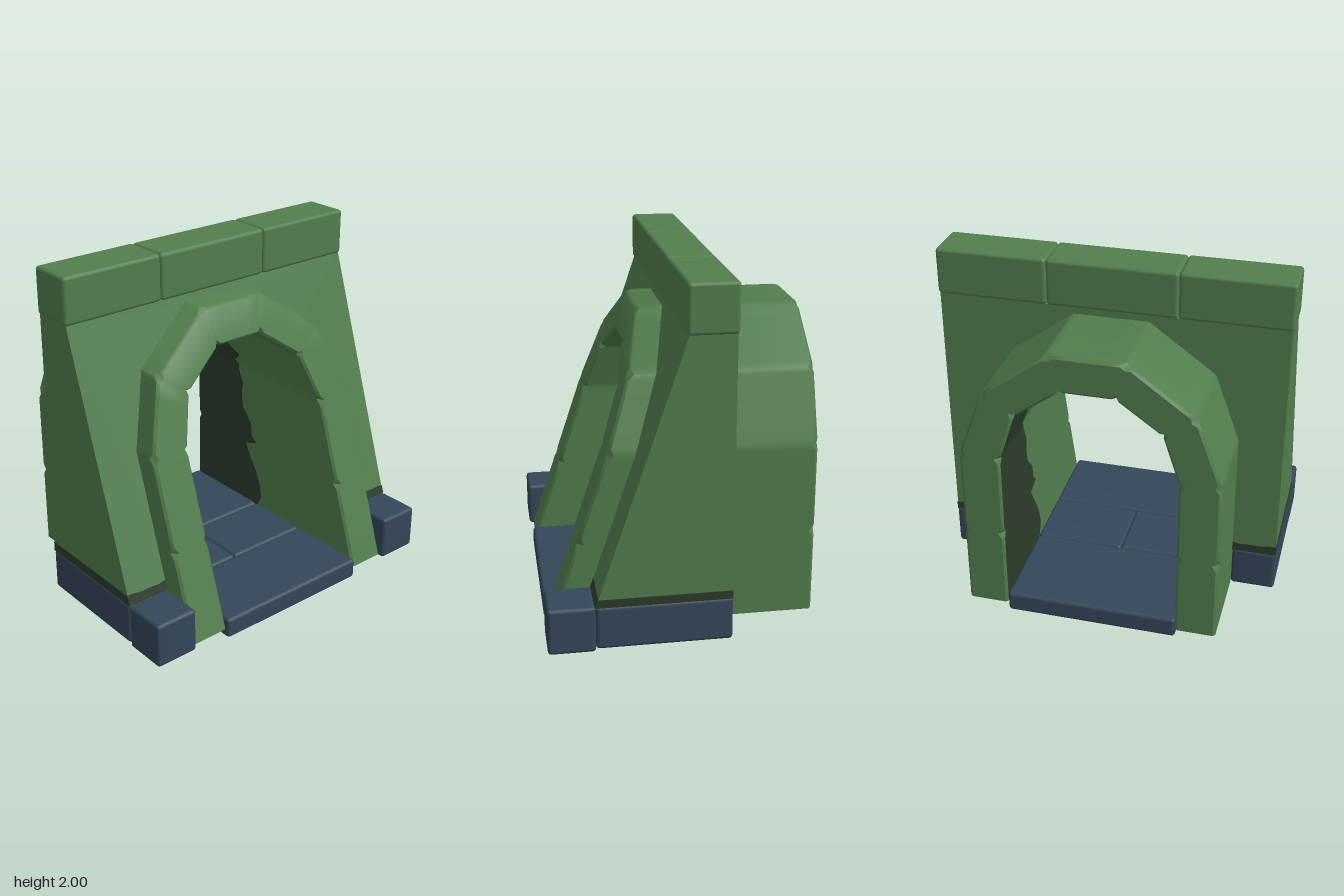
import * as THREE from 'three';
import { toCreasedNormals } from 'three/addons/utils/BufferGeometryUtils.js';
import { RoundedBoxGeometry } from 'three/addons/geometries/RoundedBoxGeometry.js';

const mat = (name, color) => new THREE.MeshStandardMaterial({ name, color });

// Repeatable noise in -1..1
const noise = (i) => {
  const s = Math.sin(i * 12.9898 + 4.1) * 43758.5453;
  return (s - Math.floor(s)) * 2 - 1;
};

// Arch joints on the +x half, from foot to crown: [outerX, outerY, innerX, innerY]
const HALF = [
  [0.72, 0.06, 0.49, 0.06],
  [0.72, 0.54, 0.49, 0.54],
  [0.72, 1.04, 0.49, 1.03],
  [0.58, 1.43, 0.4, 1.31],
  [0.21, 1.7, 0.15, 1.49],
];
const JOINTS = [...HALF, ...HALF.map(([a, b, c, d]) => [-a, b, -c, d]).reverse()];

// Tunnel ring: bevelled cross-sections swept over the arch, notched at each joint
function tunnelGeometries() {
  const back = -0.74;
  const sections = [];
  JOINTS.forEach((p, j) => {
    const q = JOINTS[j + 1];
    const steps = q ? [0, 0.07, 0.25, 0.42, 0.58, 0.75, 0.93] : [0];
    for (const t of steps) {
      const [ox, oy, nx, ny] = q ? p.map((v, k) => v + (q[k] - v) * t) : p;
      const b = t === 0 && j > 0 && q ? 0.035 : 0.014;
      const len = Math.hypot(ox - nx, oy - ny);
      const ux = ((ox - nx) / len) * b, uy = ((oy - ny) / len) * b;
      const front = (y) => 0.74 - 0.335 * y;
      // the stain reaches deeper near the ground
      const stain = -0.18 - 0.22 * ny + (nx > 0 ? 0.08 : -0.06) + 0.06 * noise(sections.length);
      const pt = (x, y, z) => new THREE.Vector3(x, y, z);
      sections.push([
        pt(ox, oy, back + b),
        pt(ox, oy, front(oy) - b),
        pt(ox - ux, oy - uy, front(oy - uy)),
        pt(nx + ux, ny + uy, front(ny + uy)),
        pt(nx, ny, front(ny) - b),
        pt(nx, ny, stain),
        pt(nx, ny, back + b),
        pt(nx + ux, ny + uy, back),
        pt(ox - ux, oy - uy, back),
      ]);
    }
  });

  const stone = [], stained = [];
  const tri = (out, ...v) => v.forEach((p) => out.push(p.x, p.y, p.z));
  for (let i = 0; i < sections.length - 1; i++) {
    const s = sections[i], n = sections[i + 1];
    for (let k = 0; k < 9; k++) {
      const m = (k + 1) % 9, out = k === 5 ? stained : stone;
      tri(out, s[k], n[k], n[m]);
      tri(out, s[k], n[m], s[m]);
    }
  }
  // feet of the arch
  const a = sections[0], z = sections[sections.length - 1];
  for (let k = 1; k < 8; k++) {
    tri(stone, a[0], a[k], a[k + 1]);
    tri(stone, z[0], z[k + 1], z[k]);
  }
  return [stone, stained].map((list) => {
    const g = new THREE.BufferGeometry();
    g.setAttribute('position', new THREE.Float32BufferAttribute(list, 3));
    return toCreasedNormals(g, 0.7);
  });
}

// Extrude an outline into the wall's depth: sloped front, upright back
function wallGeometry(points, grow = 0) {
  const shape = new THREE.Shape(points.map(([x, y]) => new THREE.Vector2(x, y)));
  const g = new THREE.ExtrudeGeometry(shape, { depth: 1, bevelEnabled: false });
  const p = g.attributes.position;
  for (let i = 0; i < p.count; i++) {
    const front = 0.49 - 0.335 * (p.getY(i) - 0.3) + grow;
    p.setZ(i, p.getZ(i) > 0.5 ? front : -0.235 - grow);
  }
  g.computeVertexNormals();
  return g;
}

export function createModel() {
  const green = mat('mossy green stone', 0x527e4e);
  const dark = mat('dark green stain', 0x2d3c2b);
  const blue = mat('slate blue stone', 0x35475b);
  const model = new THREE.Group();
  model.name = 'stoneGateway';

  const add = (name, geometry, material) => {
    const mesh = new THREE.Mesh(geometry, material);
    mesh.name = name;
    model.add(mesh);
    return mesh;
  };
  // Rounded block given by its limits
  const block = (name, material, x0, x1, y0, y1, z0, z1) =>
    add(name, new RoundedBoxGeometry(x1 - x0, y1 - y0, z1 - z0, 2, 0.02), material)
      .position.set((x0 + x1) / 2, (y0 + y1) / 2, (z0 + z1) / 2);

  // Arched tunnel and the stain inside its rear part
  const [stone, stained] = tunnelGeometries();
  add('tunnelArch', stone, green);
  add('tunnelStain', stained, dark);

  // Wall wrapped around the arch, its inner edge buried in the arch stone
  const opening = JOINTS.map(([x, y]) => [x * 0.98, Math.max(0.29, y - 0.015)]);
  add('wall', wallGeometry([[-0.97, 0.29], [-0.97, 1.74], [0.97, 1.74], [0.97, 0.29], ...opening]), green);

  // Coping stones
  const cuts = [-0.98, -0.365, 0.36, 0.98];
  for (let i = 0; i < 3; i++) block('copingStone', green, cuts[i], cuts[i + 1], 1.735, 2, -0.245, 0.02);

  for (const s of [-1, 1]) {
    // Footings: long block under the wall and a cube in front
    const [x0, x1] = s > 0 ? [0.72, 0.975] : [-0.975, -0.72];
    block('wallFooting', blue, x0, x1, 0.055, 0.3, -0.24, 0.49);
    block('frontFooting', blue, x0, x1, 0.04, 0.3, 0.49, 0.745);

    // Uneven stain along the foot of the wall
    const band = [[s * 0.7, 0.295], [s * 0.973, 0.295]];
    for (let i = 0; i <= 8; i++) band.push([s * (0.973 - (0.273 * i) / 8), 0.347 + 0.006 * noise(i + s * 20)]);
    add('wallStain', wallGeometry(band, 0.003), dark);
  }

  // Floor slabs
  block('frontSlab', blue, -0.49, 0.49, 0, 0.12, 0.25, 0.735);
  block('middleSlab', blue, -0.49, -0.03, 0, 0.12, -0.15, 0.25);
  block('middleSlab', blue, -0.03, 0.49, 0, 0.12, -0.15, 0.25);
  block('rearSlab', blue, -0.49, 0.49, 0, 0.12, -0.735, -0.15);

  return model;
}
